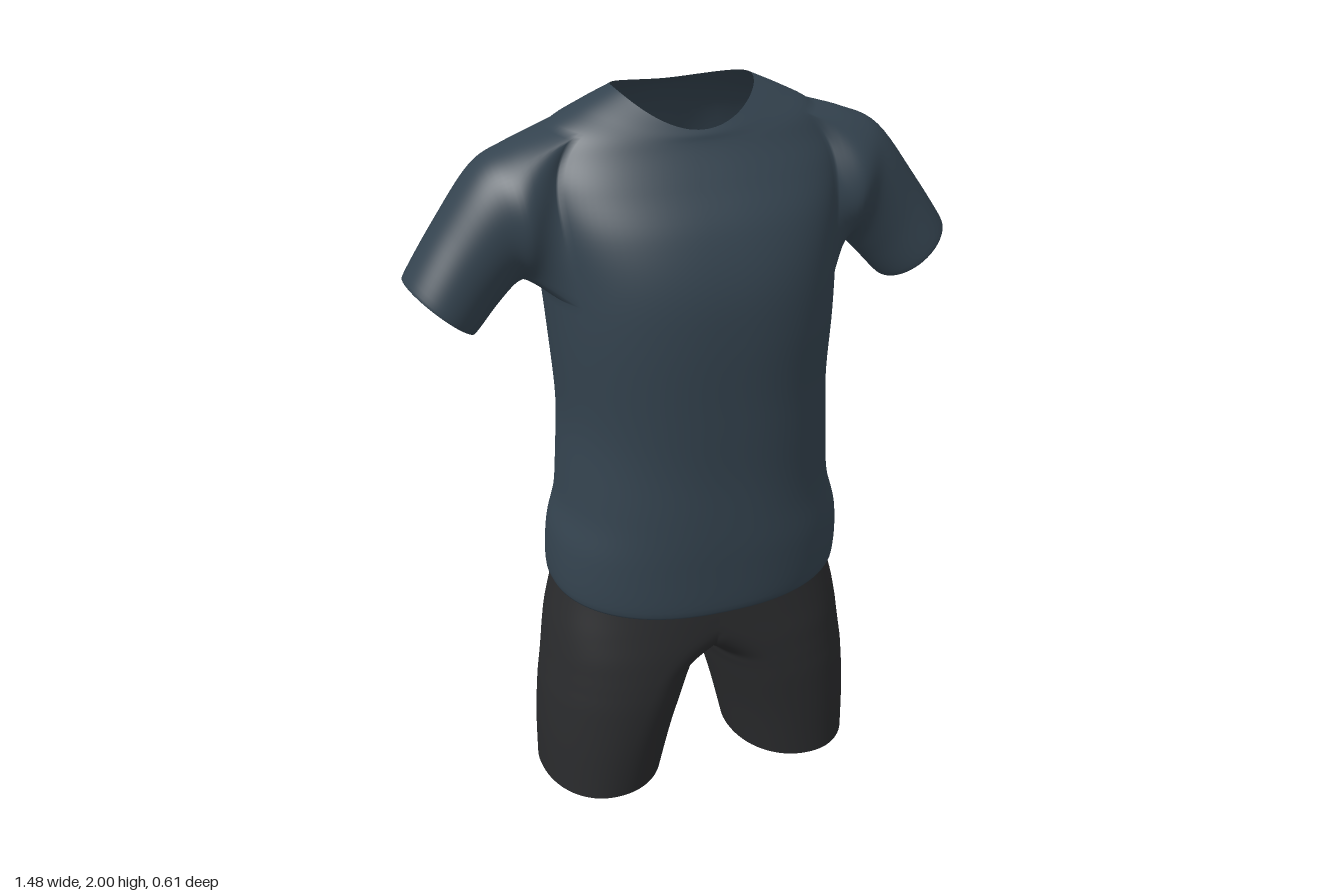
import * as THREE from 'three';
import { mergeGeometries, mergeVertices } from 'three/addons/utils/BufferGeometryUtils.js';

// Smoothly inserts n steps between rows of numbers (Catmull-Rom).
function densify(rows, n) {
  const out = [];
  const at = (i) => rows[Math.max(0, Math.min(rows.length - 1, i))];
  for (let i = 0; i < rows.length - 1; i++) {
    for (let s = 0; s < n; s++) {
      const t = s / n;
      out.push(rows[i].map((p1, k) => {
        const p0 = at(i - 1)[k], p2 = at(i + 1)[k], p3 = at(i + 2)[k];
        return 0.5 * (2 * p1 + (p2 - p0) * t + (2 * p0 - 5 * p1 + 4 * p2 - p3) * t * t
          + (3 * p1 - p0 - 3 * p2 + p3) * t * t * t);
      }));
    }
  }
  out.push(rows[rows.length - 1]);
  return out;
}

// Skins closed rings of [x, y, z, x, y, z, ...]; skip() leaves openings.
function loft(rings, mirror = false, skip = () => false) {
  const segs = rings[0].length / 3;
  const pos = rings.flat().map((v, k) => (mirror && k % 3 === 0 ? -v : v));
  const idx = [];
  for (let j = 0; j < rings.length - 1; j++) {
    for (let i = 0; i < segs; i++) {
      const k = (i + 1) % segs;
      const a = j * segs + i, b = j * segs + k, c = b + segs, d = a + segs;
      if (skip(j, i, pos[a * 3] + pos[b * 3] + pos[c * 3] + pos[d * 3])) continue;
      if (mirror) idx.push(a, b, d, b, c, d);
      else idx.push(a, d, b, b, d, c);
    }
  }
  const g = new THREE.BufferGeometry();
  g.setAttribute('position', new THREE.Float32BufferAttribute(pos, 3));
  g.setIndex(idx);
  return g;
}

// One ring of points from a section's parameters.
const ring = (row, segs, point) =>
  Array.from({ length: segs }, (_, i) => point(row, (i / segs) * Math.PI * 2)).flat();

const power = (v, e) => Math.sign(v) * Math.pow(Math.abs(v), e);
const bump = (v, centre, width) => Math.exp(-(((v - centre) / width) ** 2));

// Welds the pieces into one smooth mesh.
function weld(name, pieces, color) {
  const geometry = mergeVertices(mergeGeometries(pieces), 1e-4);
  geometry.computeVertexNormals();
  const m = new THREE.Mesh(geometry, new THREE.MeshStandardMaterial({ color, side: THREE.DoubleSide }));
  m.name = name;
  return m;
}

// Shirt body: half width, front z, back z, middle z, y at front, side and back, roundness.
const BODY = [
  [0.385, 0.265, -0.27, 0, 0.625, 0.65, 0.665, 0.85],
  [0.412, 0.292, -0.3, 0, 0.612, 0.64, 0.655, 0.85],
  [0.412, 0.3, -0.285, 0, 0.76, 0.78, 0.78, 0.85],
  [0.383, 0.3, -0.265, 0, 0.9, 0.9, 0.9, 0.85],
  [0.37, 0.3, -0.295, 0, 1.05, 1.05, 1.05, 0.85],
  [0.367, 0.303, -0.307, 0, 1.2, 1.2, 1.2, 0.85],
  [0.38, 0.31, -0.305, 0, 1.4, 1.4, 1.4, 0.85],
  [0.393, 0.3, -0.307, -0.01, 1.55, 1.55, 1.55, 0.87],
  [0.41, 0.258, -0.297, -0.02, 1.68, 1.68, 1.68, 0.87],
  [0.415, 0.197, -0.27, -0.03, 1.78, 1.78, 1.78, 0.87],
  [0.395, 0.152, -0.24, -0.04, 1.85, 1.85, 1.86, 0.9],
  [0.35, 0.135, -0.212, -0.04, 1.88, 1.912, 1.91, 0.95],
  [0.27, 0.128, -0.18, -0.04, 1.898, 1.957, 1.95, 1],
  [0.185, 0.12, -0.15, -0.04, 1.91, 1.997, 1.972, 1],
];
const BODY_SEGS = 96;

function bodyPoint([w, zf, zb, zc, yf, ys, yb, e], t) {
  const c = power(Math.cos(t), e), s = power(Math.sin(t), e);
  const x = w * c;
  let z = zc + (s > 0 ? zf - zc : zc - zb) * s;
  const y = ys + ((s > 0 ? yf : yb) - ys) * s * s;
  // Soft folds: a spine groove at the back and light ripples at the waist.
  if (s < 0) z += s * s * bump(y, 1.35, 0.4) * (0.05 * bump(x, -0.01, 0.06) + 0.02 * bump(x, 0.19, 0.04));
  const ripple = 0.006 * Math.sin(y * 17 + x * 6) * bump(y, 0.95, 0.3);
  return [x * (1 + ripple) + 0.012 * bump(y, 0.9, 0.6), y, z * (1 + ripple)];
}

// Armhole: a window in the body's grid, from row LOW to row HIGH, SPAN columns to each side.
const LOW = 40, HIGH = 66, SPAN = 8;
const inArmhole = (j, i) => j >= LOW && j < HIGH && (i + SPAN) % (BODY_SEGS / 2) < 2 * SPAN;

// The armhole's rim, from the top middle down the back and up the front.
function armholeRim(rings, mirror) {
  const path = [];
  for (let k = 0; k > -SPAN; k--) path.push([HIGH, k]);
  for (let j = HIGH; j > LOW; j--) path.push([j, -SPAN]);
  for (let k = -SPAN; k < SPAN; k++) path.push([LOW, k]);
  for (let j = LOW; j < HIGH; j++) path.push([j, SPAN]);
  for (let k = SPAN; k > 0; k--) path.push([HIGH, k]);
  return path.flatMap(([j, k]) => {
    const i = mirror ? BODY_SEGS / 2 - k : (k + BODY_SEGS) % BODY_SEGS;
    const [x, y, z] = rings[j].slice(i * 3, i * 3 + 3);
    return [mirror ? -x : x, y, z];
  });
}

// Sleeve: top x, y, bottom x, y, back z, front z.
const SLEEVE = [
  [0.45, 1.882, 0.425, 1.523, -0.2, 0.135],
  [0.545, 1.832, 0.455, 1.525, -0.178, 0.108],
  [0.65, 1.695, 0.505, 1.478, -0.163, 0.097],
  [0.737, 1.565, 0.568, 1.41, -0.15, 0.1],
  [0.725, 1.565, 0.572, 1.422, -0.14, 0.09],
];

function sleevePoint([tx, ty, bx, by, zb, zf], t) {
  const c = Math.cos(t), s = Math.sin(t);
  return [
    (tx + bx) / 2 + ((tx - bx) / 2) * c,
    (ty + by) / 2 + ((ty - by) / 2) * c,
    (zf + zb) / 2 - ((zf - zb) / 2) * s,
  ];
}

// One half of the shorts: y, inner x, centre x, outer x, front z, back z, roundness.
// Above the crotch the inner side passes the middle and is cut off there.
const LEG = [
  [0, 0.115, 0.3, 0.47, 0.228, -0.19, 0.95],
  [0.15, 0.08, 0.265, 0.47, 0.238, -0.19, 0.95],
  [0.28, 0.045, 0.22, 0.462, 0.243, -0.19, 0.93],
  [0.35, 0.025, 0.19, 0.453, 0.242, -0.2, 0.92],
  [0.395, 0, 0.165, 0.446, 0.24, -0.217, 0.9],
  [0.45, -0.12, 0.13, 0.438, 0.237, -0.24, 0.88],
  [0.52, -0.35, 0.07, 0.425, 0.231, -0.268, 0.86],
  [0.62, -0.4, 0.0, 0.398, 0.223, -0.29, 0.85],
  [0.72, -0.37, 0.0, 0.37, 0.215, -0.25, 0.85],
];

function legPoint([y, inner, centre, outer, zf, zb, e], t) {
  const c = power(Math.cos(t), e), s = power(Math.sin(t), e);
  const x = centre + (c > 0 ? outer - centre : centre - inner) * c;
  return [x < 1e-4 ? 0 : x, y, s > 0 ? zf * s : -zb * s];
}

export function createModel() {
  const group = new THREE.Group();

  // Shirt: body with two sleeves growing out of its armholes
  const bodyRings = densify(BODY, 6).map((row) => ring(row, BODY_SEGS, bodyPoint));
  const sleeves = [false, true].map((mirror) => {
    const rim = armholeRim(bodyRings, mirror);
    const sections = SLEEVE.map((row) => ring(row, rim.length / 3, sleevePoint));
    return loft(densify([rim, ...sections], 6), mirror);
  });
  group.add(weld('shirt', [loft(bodyRings, false, inArmhole), ...sleeves], 0x34434f));

  // Shorts: two mirrored halves joined along the middle, open at waist and legs
  const legRings = densify(LEG, 6).map((row) => ring(row, 80, legPoint));
  const onMiddle = (j, i, xSum) => xSum === 0;
  const halves = [false, true].map((mirror) => loft(legRings, mirror, onMiddle));
  const shorts = weld('shorts', halves, 0x2a2b2d);
  shorts.position.x = 0.01;
  group.add(shorts);

  return group;
}
